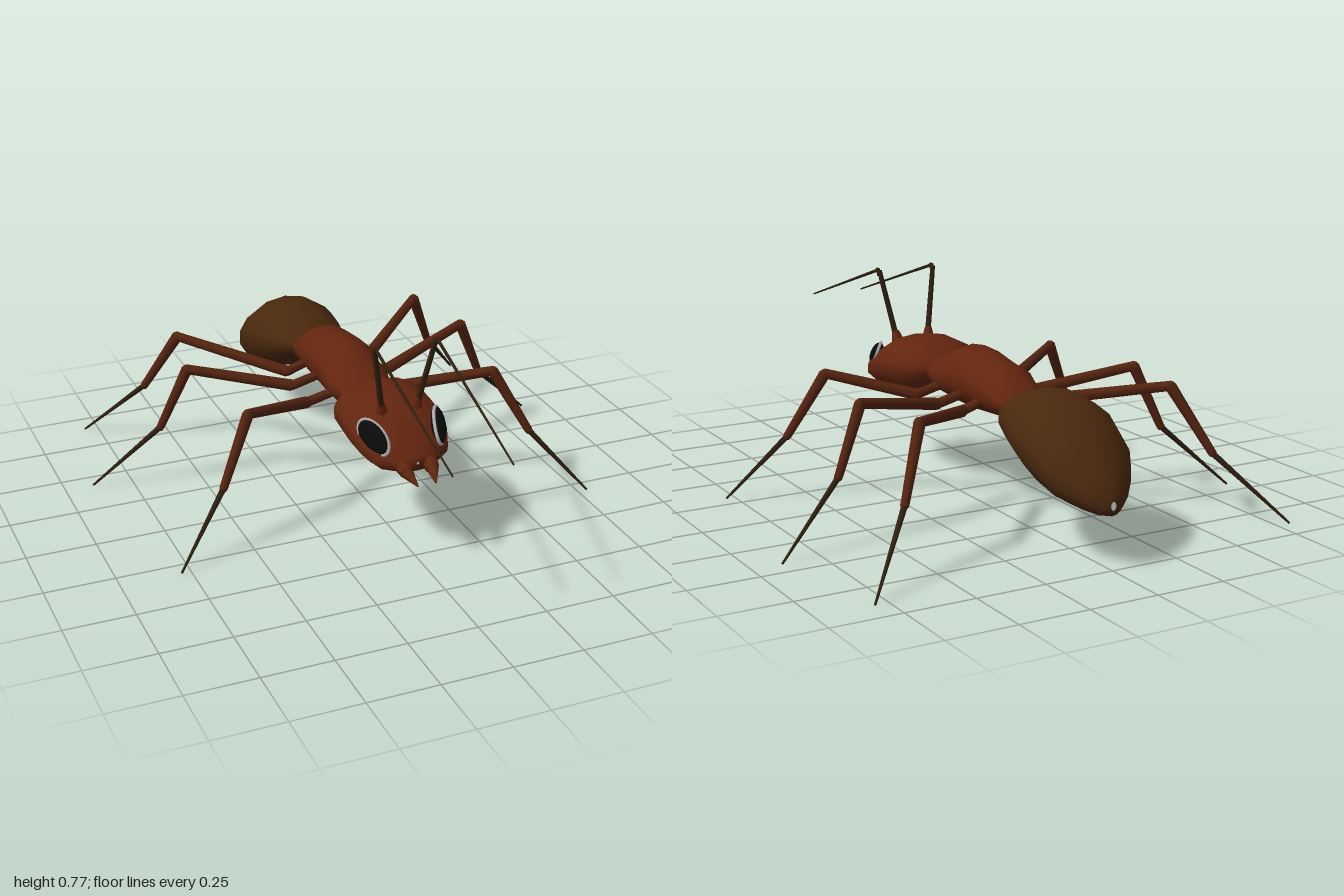
import * as THREE from 'three';

const mat = (color, roughness = 0.8) => new THREE.MeshStandardMaterial({ color, roughness });
const V = (p) => new THREE.Vector3(...p);

// Body segment lofted front to back; each section is [z, bottom, top, halfWidth]
function loft(name, sections, material, sides = 14) {
  const pos = [], idx = [];
  sections.forEach(([z, lo, hi, w], i) => {
    for (let j = 0; j < sides; j++) {
      const t = (j / sides) * Math.PI * 2 + Math.PI / 2;
      pos.push(Math.cos(t) * w, (lo + hi) / 2 + (Math.sin(t) * (hi - lo)) / 2, z);
      if (i === 0) continue;
      const k = (j + 1) % sides, a = (i - 1) * sides, c = i * sides;
      idx.push(a + j, c + j, a + k, a + k, c + j, c + k);
    }
  });
  const g = new THREE.BufferGeometry();
  g.setAttribute('position', new THREE.Float32BufferAttribute(pos, 3));
  g.setIndex(idx);
  g.computeVertexNormals();
  const mesh = new THREE.Mesh(g, material);
  mesh.name = name;
  return mesh;
}

// Tapered limb piece from a to b
function limb(name, a, b, ra, rb, material, sides = 7) {
  const p = V(a), d = V(b).sub(p);
  const mesh = new THREE.Mesh(new THREE.CylinderGeometry(rb, ra, d.length(), sides), material);
  mesh.position.copy(p).addScaledVector(d, 0.5);
  mesh.quaternion.setFromUnitVectors(new THREE.Vector3(0, 1, 0), d.normalize());
  mesh.name = name;
  return mesh;
}

export function createModel() {
  const model = new THREE.Group();
  model.name = 'ant';
  const red = mat(0x64260f), brown = mat(0x4a290d), legMat = mat(0x56240f);
  const dark = mat(0x30200e), black = mat(0x0a0a0a, 0.5), pale = mat(0xaaaaaa);

  // Head, thorax and abdomen
  model.add(loft('head', [
    [0.515, 0.36, 0.37, 0.005], [0.51, 0.335, 0.39, 0.07], [0.46, 0.315, 0.435, 0.14],
    [0.4, 0.31, 0.485, 0.165], [0.33, 0.312, 0.522, 0.175], [0.25, 0.322, 0.538, 0.175],
    [0.17, 0.335, 0.535, 0.17], [0.115, 0.37, 0.505, 0.135], [0.075, 0.41, 0.475, 0.095],
    [0.07, 0.44, 0.45, 0.01],
  ], red));
  model.add(loft('thorax', [
    [0.1, 0.44, 0.45, 0.01], [0.095, 0.41, 0.48, 0.09], [0.0, 0.365, 0.52, 0.114],
    [-0.1, 0.352, 0.567, 0.114], [-0.2, 0.349, 0.565, 0.108], [-0.35, 0.362, 0.535, 0.11],
    [-0.41, 0.372, 0.49, 0.1], [-0.47, 0.385, 0.45, 0.07], [-0.475, 0.41, 0.42, 0.01],
  ], red));
  model.add(loft('abdomen', [
    [-0.435, 0.41, 0.42, 0.01], [-0.44, 0.385, 0.45, 0.075], [-0.52, 0.33, 0.495, 0.145],
    [-0.6, 0.272, 0.517, 0.165], [-0.68, 0.235, 0.515, 0.176], [-0.76, 0.203, 0.5, 0.178],
    [-0.85, 0.182, 0.44, 0.165], [-0.91, 0.177, 0.375, 0.13], [-0.965, 0.175, 0.305, 0.08],
    [-0.993, 0.18, 0.255, 0.04], [-1, 0.2, 0.23, 0.01],
  ], brown));

  // Leg joints for the left side: hip, femur start, knee, ankle, foot
  const legs = {
    front: [[0.07, 0.42, -0.03], [0.19, 0.39, -0.03], [0.47, 0.465, 0.13], [0.59, 0.235, 0.2], [0.785, 0.002, 0.31]],
    middle: [[0.07, 0.42, -0.185], [0.19, 0.39, -0.185], [0.55, 0.465, -0.31], [0.65, 0.235, -0.345], [0.895, 0.002, -0.43]],
    rear: [[0.07, 0.42, -0.31], [0.16, 0.39, -0.31], [0.49, 0.465, -0.615], [0.6, 0.235, -0.72], [0.8, 0.002, -0.905]],
  };
  const pieces = [['hip', 0.017, 0.018], ['femur', 0.022, 0.018], ['tibia', 0.021, 0.015], ['foot', 0.011, 0.004]];

  for (const s of [1, -1]) {
    const side = s > 0 ? 'left' : 'right';
    const m = (p) => [p[0] * s, p[1], p[2]];
    const group = (name) => {
      const g = new THREE.Group();
      g.name = name;
      model.add(g);
      return g;
    };

    // Legs with rounded joints
    for (const [pair, joints] of Object.entries(legs)) {
      const leg = group(`${side} ${pair} leg`);
      pieces.forEach(([name, ra, rb], i) => {
        leg.add(limb(name, m(joints[i]), m(joints[i + 1]), ra, rb, i === 3 ? dark : legMat));
        if (i === 3) return;
        const joint = new THREE.Mesh(new THREE.SphereGeometry(rb, 8, 6), legMat);
        joint.position.set(...m(joints[i + 1]));
        joint.name = 'joint';
        leg.add(joint);
      });
    }

    // Elbowed antenna
    const antenna = group(`${side} antenna`);
    antenna.add(
      limb('antennaSocket', m([0.062, 0.48, 0.345]), m([0.07, 0.535, 0.358]), 0.028, 0.013, red),
      limb('antennaScape', m([0.065, 0.5, 0.355]), m([0.113, 0.76, 0.4]), 0.011, 0.009, dark),
      limb('antennaElbow', m([0.112, 0.745, 0.4]), m([0.113, 0.765, 0.42]), 0.01, 0.006, dark),
      limb('antennaTip', m([0.113, 0.763, 0.405]), m([0.105, 0.57, 1]), 0.006, 0.003, dark),
    );

    // Mandible
    const jaw = group(`${side} mandible`);
    jaw.add(
      limb('mandibleBase', m([0.05, 0.375, 0.45]), m([0.047, 0.345, 0.53]), 0.038, 0.024, red),
      limb('mandibleTip', m([0.047, 0.345, 0.53]), m([0.033, 0.32, 0.59]), 0.024, 0.003, red),
    );

    // Slanted oval eye with a pale rim
    const eye = group(`${side} eye`);
    const long = V(m([0.05, 0.075, -0.135])).normalize();
    const out = V(m([0.8, 0.36, 0.5]));
    out.addScaledVector(long, -out.dot(long)).normalize();
    const across = new THREE.Vector3().crossVectors(out, long);
    eye.quaternion.setFromRotationMatrix(new THREE.Matrix4().makeBasis(long, across, out));
    eye.position.set(...m([0.121, 0.44, 0.415]));
    const lens = new THREE.Mesh(new THREE.SphereGeometry(1, 18, 12), black);
    lens.scale.set(0.074, 0.042, 0.024);
    lens.name = 'eyeLens';
    const rim = new THREE.Mesh(new THREE.TorusGeometry(1, 0.09, 6, 24), pale);
    rim.scale.set(0.076, 0.044, 0.07);
    rim.name = 'eyeRim';
    eye.add(lens, rim);
  }
  return model;
}
